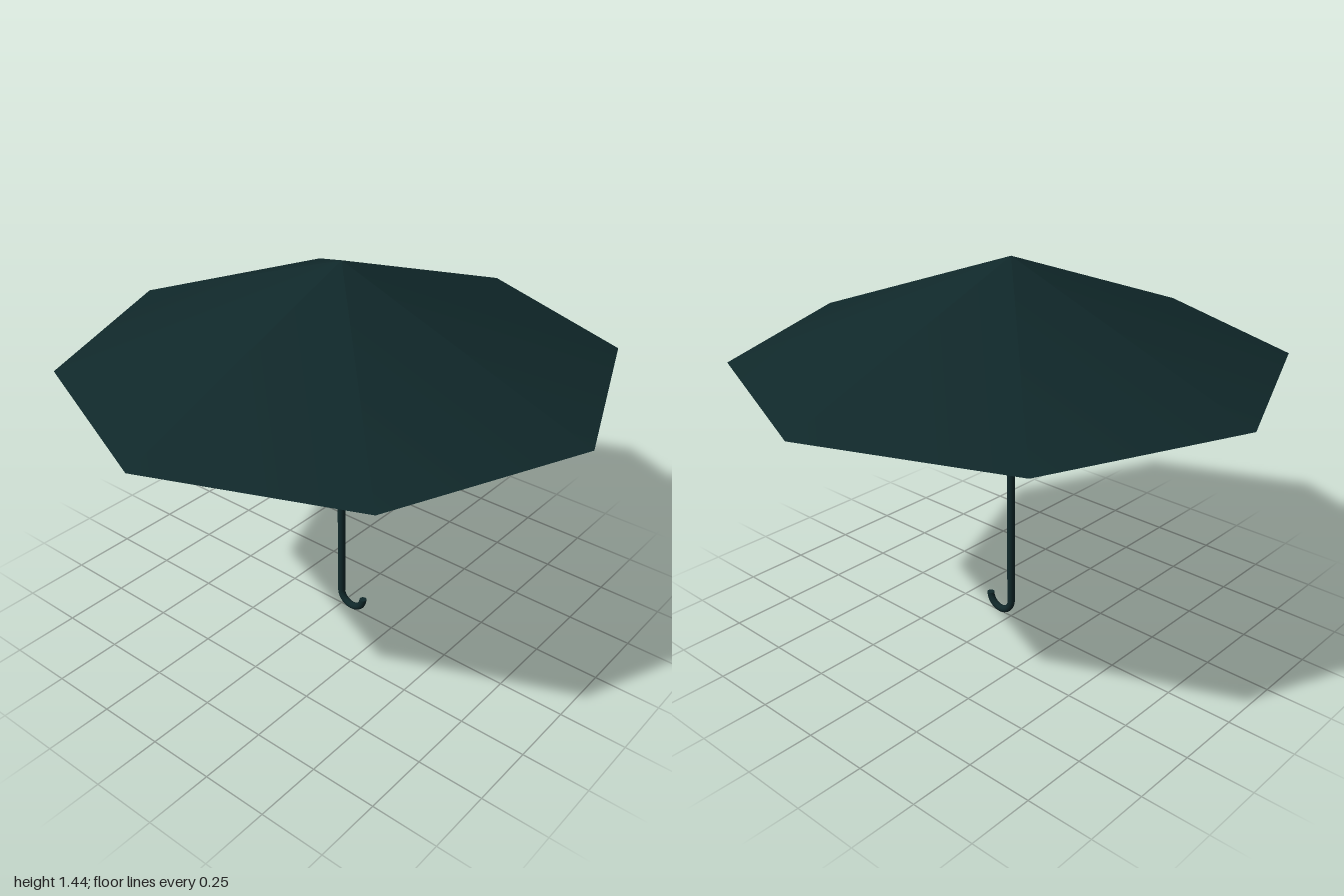
import * as THREE from 'three';

export function createModel() {
  const umbrella = new THREE.Group();
  umbrella.name = 'umbrella';
  const darkTeal = new THREE.MeshStandardMaterial({ color: 0x10282a, side: THREE.DoubleSide });
  darkTeal.name = 'darkTeal';

  const add = (name, geometry, x, y) => {
    const mesh = new THREE.Mesh(geometry, darkTeal);
    mesh.name = name;
    mesh.position.set(x, y, 0);
    umbrella.add(mesh);
    return mesh;
  };

  // Hollow eight-sided canopy, open underneath
  const rimY = 1.075, apexY = 1.445;
  add('canopy', new THREE.ConeGeometry(1, apexY - rimY, 8, 1, true), 0, (rimY + apexY) / 2);

  // Straight pole reaching up inside the canopy
  const poleBottom = 0.066, poleTop = 1.39;
  add('pole', new THREE.CylinderGeometry(0.015, 0.015, poleTop - poleBottom, 16), 0, (poleBottom + poleTop) / 2);

  // Half-ring handle curling towards +x
  const hookRadius = 0.054, tube = 0.014, hookY = 0.069;
  const hook = add('handleHook', new THREE.TorusGeometry(hookRadius, tube, 12, 24, Math.PI), hookRadius, hookY);
  hook.rotation.z = Math.PI;

  // Flat cap closing the free end of the handle
  const cap = add('handleEnd', new THREE.CircleGeometry(tube, 12), hookRadius * 2, hookY);
  cap.rotation.x = -Math.PI / 2;

  return umbrella;
}
